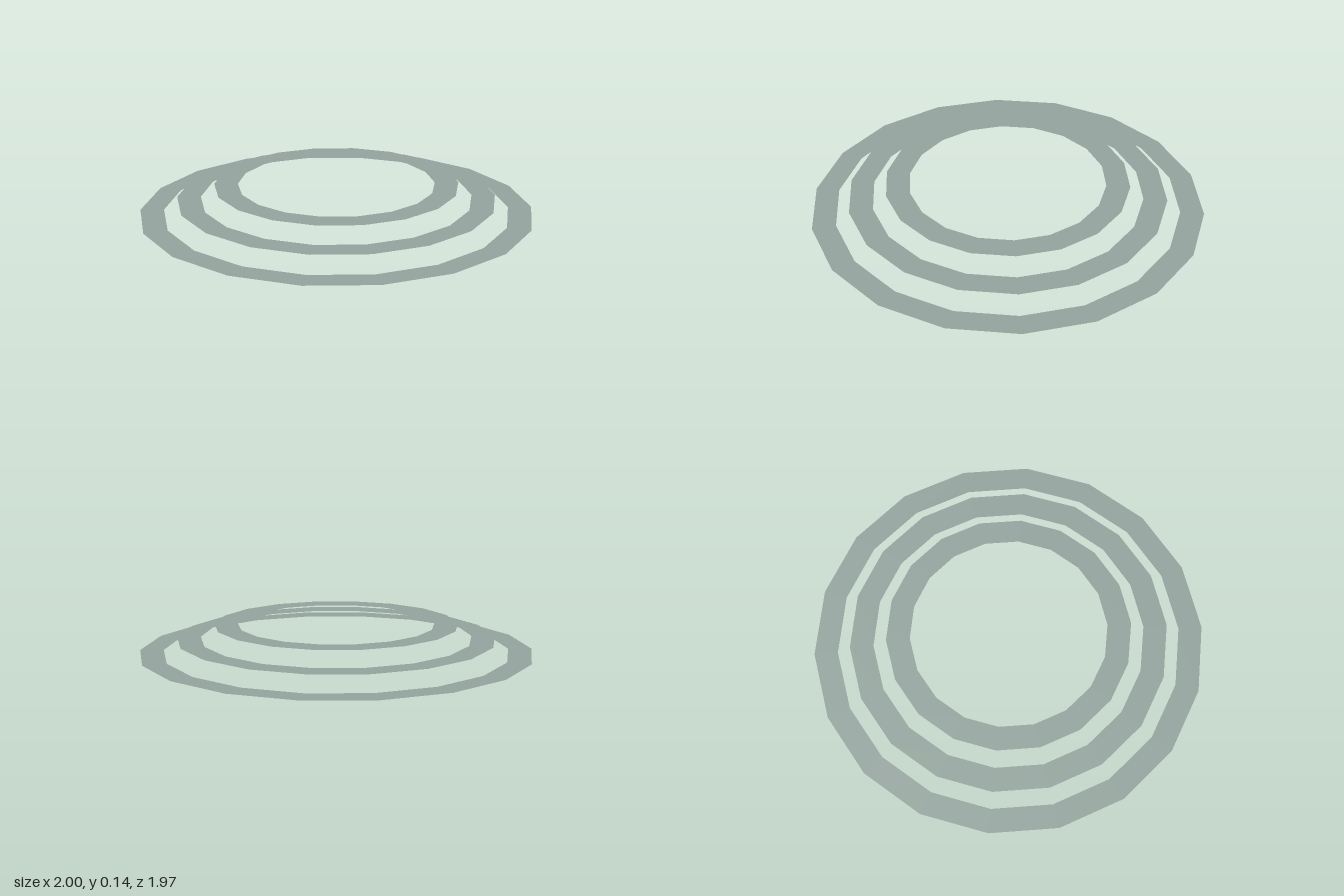
import * as THREE from 'three';

export function createModel() {
  const model = new THREE.Group();
  const material = new THREE.MeshStandardMaterial({
    color: 0x95a59f, flatShading: true, side: THREE.DoubleSide,
  });

  // Three flat 18-sided rings, each smaller one floating a step higher
  const rings = [
    ['outerRing', 0.88, 1.0],
    ['middleRing', 0.69, 0.81],
    ['innerRing', 0.5, 0.62],
  ];
  const step = 0.068;
  rings.forEach(([name, inner, outer], i) => {
    const geometry = new THREE.RingGeometry(inner, outer, 18, 1);
    geometry.rotateX(-Math.PI / 2);
    const ring = new THREE.Mesh(geometry, material);
    ring.name = name;
    ring.position.y = i * step;
    model.add(ring);
  });
  return model;
}
